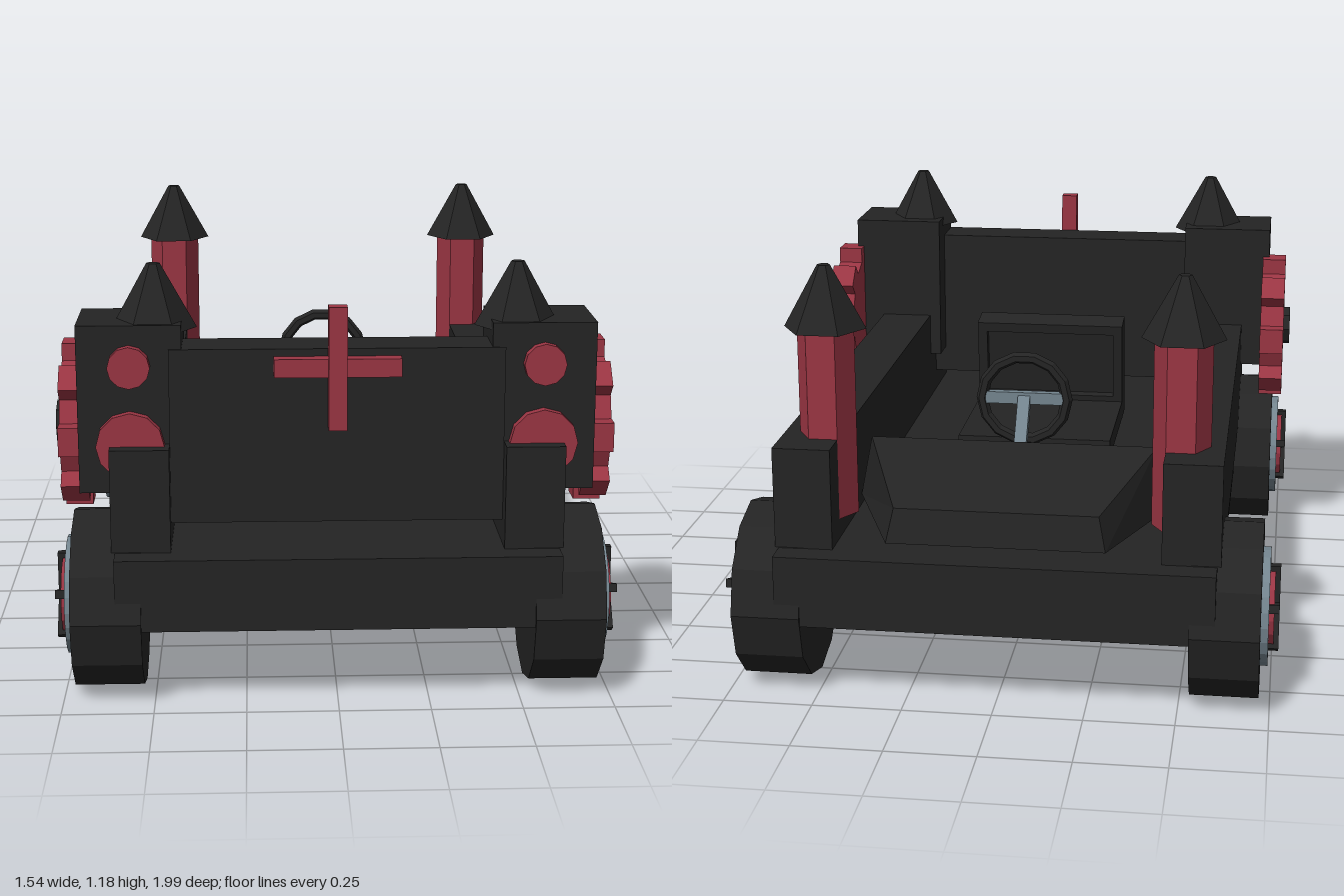
import * as THREE from 'three';

export function createModel() {
  const mat = (name, color) => Object.assign(new THREE.MeshStandardMaterial({ color, flatShading: true }), { name });
  const black = mat('charcoal', 0x242424);
  const red = mat('crimson', 0x9a3543);
  const grey = mat('steel', 0x74858f);

  const model = new THREE.Group();
  model.name = 'castleCar';

  const add = (name, geo, material, x = 0, y = 0, z = 0, parent = model) => {
    const m = new THREE.Mesh(geo, material);
    m.name = name;
    m.position.set(x, y, z);
    parent.add(m);
    return m;
  };
  // Box given by its minimum and maximum corners
  const box = (name, material, x0, x1, y0, y1, z0, z1, parent) =>
    add(name, new THREE.BoxGeometry(x1 - x0, y1 - y0, z1 - z0), material,
      (x0 + x1) / 2, (y0 + y1) / 2, (z0 + z1) / 2, parent);
  // Disc whose axis runs along x, from x0 to x1
  const discX = (name, material, r, x0, x1, sides, y, z, parent) =>
    add(name, new THREE.CylinderGeometry(r, r, Math.abs(x1 - x0), sides).rotateZ(Math.PI / 2).rotateX(Math.PI / 2),
      material, (x0 + x1) / 2, y, z, parent);

  // Chassis and front panel
  box('chassis', black, -0.6, 0.6, 0.225, 0.425, -0.985, 0.98);
  box('frontPanel', black, -0.45, 0.45, 0.49, 0.97, 0.71, 0.85);

  // Cross ornament
  box('crossUpright', red, -0.025, 0.025, 0.755, 1.09, 0.852, 0.895);
  for (const s of [-1, 1])
    box('crossArm', red, Math.min(s * 0.025, s * 0.17), Math.max(s * 0.025, s * 0.17), 0.9, 0.95, 0.852, 0.89);

  // Toothed wheel outline: round body with eight square teeth
  const gearShape = new THREE.Shape();
  for (let i = 0; i < 8; i++) {
    const a = (i * Math.PI) / 4, c = Math.cos(a), s = Math.sin(a);
    const points = [[0.182, -0.04], [0.23, -0.04], [0.23, 0.04], [0.182, 0.04]];
    points.forEach(([u, v], k) => {
      const px = u * c - v * s, py = u * s + v * c;
      if (i + k === 0) gearShape.moveTo(px, py); else gearShape.lineTo(px, py);
    });
  }
  gearShape.closePath();
  const gearGeo = new THREE.ExtrudeGeometry(gearShape, { depth: 0.075, bevelEnabled: false })
    .translate(0, 0, -0.0375).rotateY(Math.PI / 2);

  const ringShape = new THREE.Shape().absarc(0, 0, 0.165, 0, Math.PI * 2);
  ringShape.holes.push(new THREE.Path().absarc(0, 0, 0.105, 0, Math.PI * 2, true));
  const ringGeo = new THREE.ExtrudeGeometry(ringShape, { depth: 0.03, bevelEnabled: false, curveSegments: 12 })
    .translate(0, 0, -0.015).rotateY(Math.PI / 2);

  const roofGeo = new THREE.CylinderGeometry(0.018, 0.115, 0.175, 6).rotateY(Math.PI / 6);
  const towerGeo = new THREE.CylinderGeometry(0.08, 0.08, 0.53, 6).rotateY(Math.PI / 6);

  for (const s of [-1, 1]) {
    const side = s > 0 ? 'left' : 'right';
    const span = (a, b) => (s > 0 ? [a, b] : [-b, -a]);

    // Side wall and lamp block
    box(side + 'Wall', black, ...span(0.45, 0.61), 0.375, 0.71, -0.91, 0.91);
    box(side + 'LampBlock', black, ...span(0.415, 0.695), 0.575, 1.035, 0.61, 0.845);

    // Lamps
    for (const [name, r, y] of [['MainLamp', 0.092, 0.71], ['SmallLamp', 0.057, 0.925]])
      add(side + name, new THREE.CylinderGeometry(r, r, 0.03, 12).rotateX(Math.PI / 2), red, s * 0.555, y, 0.857);

    // Turrets
    for (const z of [-0.745, 0.745])
      add(side + 'TurretRoof', roofGeo, black, s * 0.49, 1.0975, z);
    add(side + 'RearTower', towerGeo, red, s * 0.49, 0.745, -0.745);

    // Side gear
    add(side + 'Gear', gearGeo, red, s * 0.7125, 0.715, 0.61);
    discX(side + 'GearHub', black, 0.062, s * 0.74, s * 0.77, 8, 0.715, 0.61);

    // Wheels with a steel ring, red hub and five spokes
    for (const z of [-0.745, 0.745]) {
      const wheel = new THREE.Group();
      wheel.name = side + (z > 0 ? 'FrontWheel' : 'RearWheel');
      wheel.position.set(0, 0.25, z);
      model.add(wheel);
      discX('tyre', black, 0.25, s * 0.53, s * 0.72, 12, 0, 0, wheel);
      add('rim', ringGeo, grey, s * 0.726, 0.005, 0, wheel);
      discX('hub', red, 0.11, s * 0.71, s * 0.755, 16, 0.005, 0, wheel);
      for (let i = 0; i < 5; i++) {
        const spoke = new THREE.BoxGeometry(0.03, 0.122, 0.024).translate(0, 0.061, 0).rotateX((i * Math.PI * 2) / 5);
        add('spoke', spoke, black, s * 0.754, 0.005, 0, wheel);
      }
    }
  }

  // Sloping dashboard cowl: a box with its corners moved
  const cowl = new THREE.BoxGeometry(2, 2, 2);
  const p = cowl.attributes.position;
  for (let i = 0; i < p.count; i++) {
    const front = p.getZ(i) > 0, top = p.getY(i) > 0;
    const hw = front ? (top ? 0.41 : 0.45) : (top ? 0.28 : 0.3);
    const y = top ? (front ? 0.64 : 0.55) : 0.455;
    const z = front ? (top ? -0.55 : -0.525) : (top ? -0.9 : -0.92);
    p.setXYZ(i, p.getX(i) * hw, y, z);
  }
  cowl.computeVertexNormals();
  add('dashboardCowl', cowl, black);

  // Steering wheel and column
  const steering = new THREE.Group();
  steering.name = 'steering';
  steering.position.set(0, 0.7, -0.312);
  model.add(steering);
  add('steeringWheel', new THREE.TorusGeometry(0.126, 0.017, 6, 14), black, 0, 0, 0, steering);
  box('steeringBar', grey, -0.115, 0.115, -0.015, 0.02, -0.012, 0.012, steering);
  const column = add('steeringColumn', new THREE.BoxGeometry(0.036, 0.33, 0.03), grey, 0, -0.13, -0.1, steering);
  column.rotation.x = Math.atan2(0.2, 0.27);

  // Seat facing the steering wheel, with a framed leaning back
  box('seatCushion', black, -0.235, 0.235, 0.452, 0.51, -0.1, 0.42);
  const back = new THREE.Group();
  back.name = 'seatBack';
  back.position.set(0, 0.455, 0.385);
  back.rotation.x = -0.13;
  model.add(back);
  box('seatBackPanel', black, -0.235, 0.235, 0, 0.325, -0.02, 0.045, back);
  for (const s of [-1, 1])
    box('seatBackPost', black, s * 0.22 - 0.015, s * 0.22 + 0.015, 0, 0.325, -0.05, -0.02, back);
  box('seatBackTopRail', black, -0.205, 0.205, 0.295, 0.325, -0.05, -0.02, back);
  box('seatBackBottomRail', black, -0.205, 0.205, 0.05, 0.08, -0.05, -0.02, back);

  return model;
}
